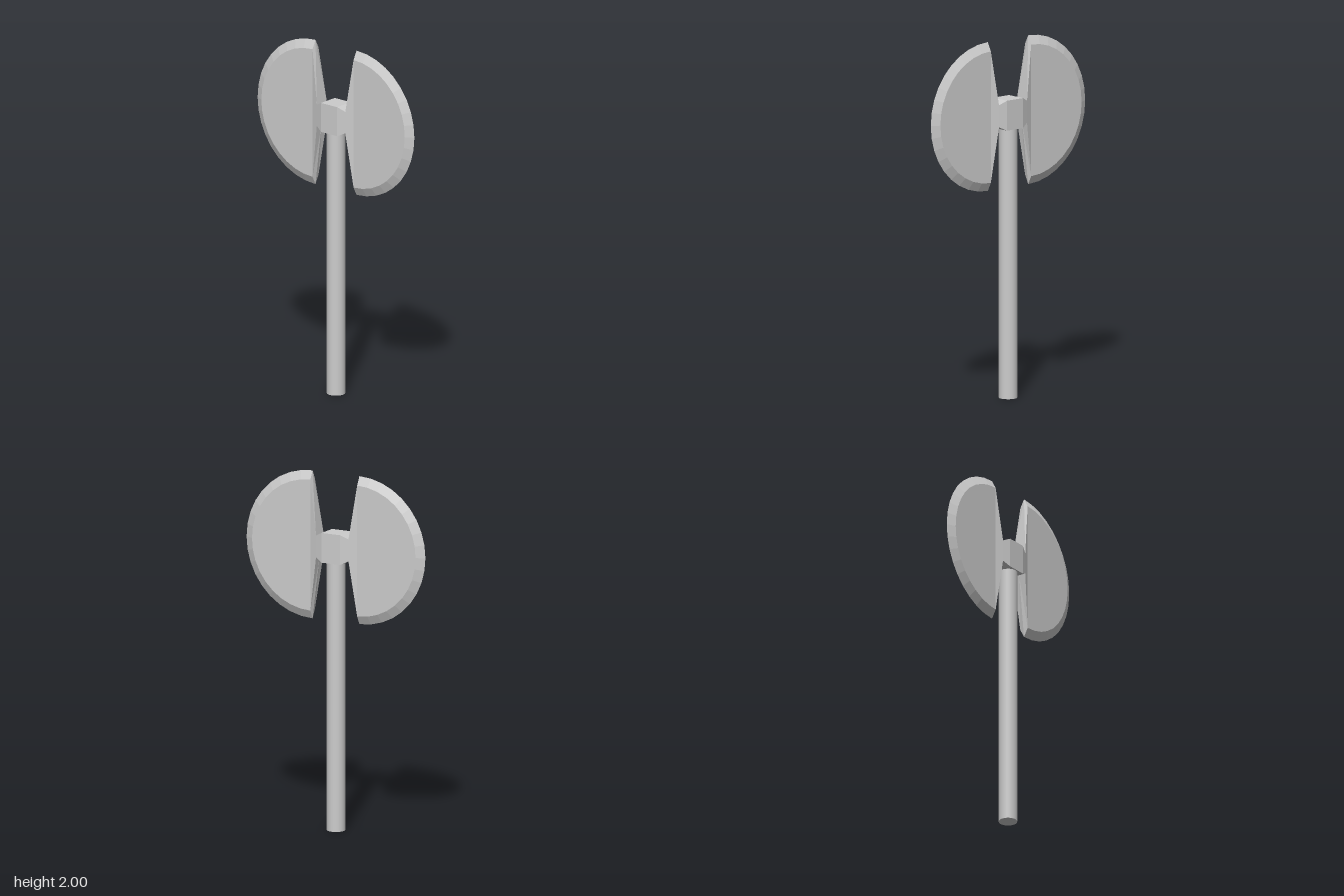
import * as THREE from 'three';

const metal = new THREE.MeshStandardMaterial({ color: 0xcccccc });
metal.name = 'light grey';

// Blade with its neck, reaching toward +z; each face is mirrored across x = 0
function bladeGeometry() {
  const pos = [];
  const face = (...p) => {
    for (let i = 1; i < p.length - 1; i++) {
      const t = [p[0], p[i], p[i + 1]];
      t.forEach(v => pos.push(...v));
      t.reverse().forEach(([x, y, z]) => pos.push(-x, y, z));
    }
  };

  // Cutting edge and the inner border of its bevel
  const steps = 18, cy = 1.585, cz = 0.147;
  const arc = (r, x) => Array.from({ length: steps + 1 }, (_, i) => {
    const a = Math.PI * i / steps;
    return [x, cy + r * Math.cos(a), cz + r * Math.sin(a)];
  });
  const edge = arc(0.415, 0), rim = arc(0.367, 0.025);

  face(...rim);
  for (let i = 0; i < steps; i++) face(edge[i], edge[i + 1], rim[i + 1], rim[i]);

  // Sections where the neck meets the blade and the hub
  const section = (x, y0, y1, z) => ({
    top: [x, y1, z], bottom: [x, y0, z], midTop: [0, y1, z], midBottom: [0, y0, z]
  });
  const neck = section(0.042, 1.525, 1.648, 0.102);
  const hub = section(0.058, 1.503, 1.67, 0.058);

  // Thickened back of the blade
  face(rim[0], rim[steps], neck.bottom, neck.top);
  face(edge[0], rim[0], neck.top, neck.midTop);
  face(rim[steps], edge[steps], neck.midBottom, neck.bottom);

  // Tapered neck
  face(neck.top, neck.bottom, hub.bottom, hub.top);
  face(neck.midTop, neck.top, hub.top, hub.midTop);
  face(neck.bottom, neck.midBottom, hub.midBottom, hub.bottom);

  const g = new THREE.BufferGeometry();
  g.setAttribute('position', new THREE.Float32BufferAttribute(pos, 3));
  g.computeVertexNormals();
  return g;
}

export function createModel() {
  const group = new THREE.Group();
  group.name = 'doubleAxe';
  const add = (name, geometry) => {
    const mesh = new THREE.Mesh(geometry, metal);
    mesh.name = name;
    group.add(mesh);
    return mesh;
  };

  // Handle
  add('handle', new THREE.CylinderGeometry(0.051, 0.051, 1.51, 24)).position.y = 0.755;

  // Hub block on top of the handle
  add('hub', new THREE.BoxGeometry(0.116, 0.167, 0.116)).position.y = 1.5865;

  // Two opposite blades
  const blade = bladeGeometry();
  add('frontBlade', blade);
  add('backBlade', blade).rotation.y = Math.PI;

  return group;
}
